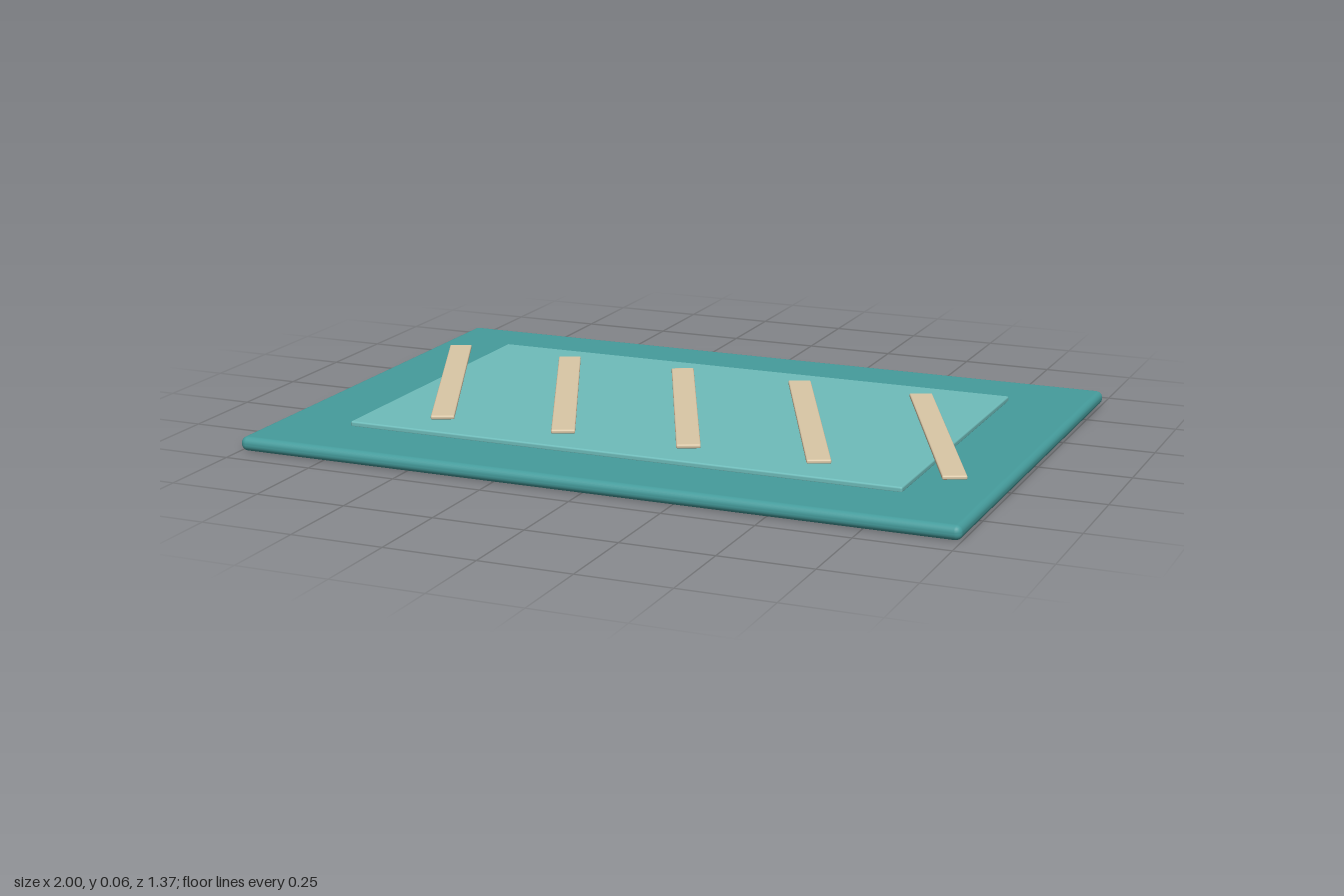
import * as THREE from 'three';
import { RoundedBoxGeometry } from 'three/addons/geometries/RoundedBoxGeometry.js';

export function createModel() {
  const group = new THREE.Group();
  const teal = new THREE.MeshStandardMaterial({ color: 0x459c9c });
  const paleTeal = new THREE.MeshStandardMaterial({ color: 0x6ebcba });
  const sand = new THREE.MeshStandardMaterial({ color: 0xdac7a6 });

  // Rounded slab spanning y0 to y1
  function slab(name, width, depth, y0, y1, radius, material) {
    const geometry = new RoundedBoxGeometry(width, y1 - y0, depth, 3, radius);
    const mesh = new THREE.Mesh(geometry, material);
    mesh.name = name;
    mesh.position.y = (y0 + y1) / 2;
    group.add(mesh);
    return mesh;
  }

  // Mat and its raised centre
  slab('matBase', 2, 1.37, 0, 0.039, 0.018, teal);
  slab('centrePanel', 1.565, 0.945, 0.036, 0.052, 0.005, paleTeal);

  // Slanted stripes, the outer two reaching past the centre panel
  for (let i = -2; i <= 2; i++) {
    const stripe = slab(`stripe${i + 3}`, 0.064, 0.8, 0.053, 0.064, 0.004, sand);
    stripe.position.x = i * 0.361;
    stripe.rotation.y = 0.42;
  }

  return group;
}
